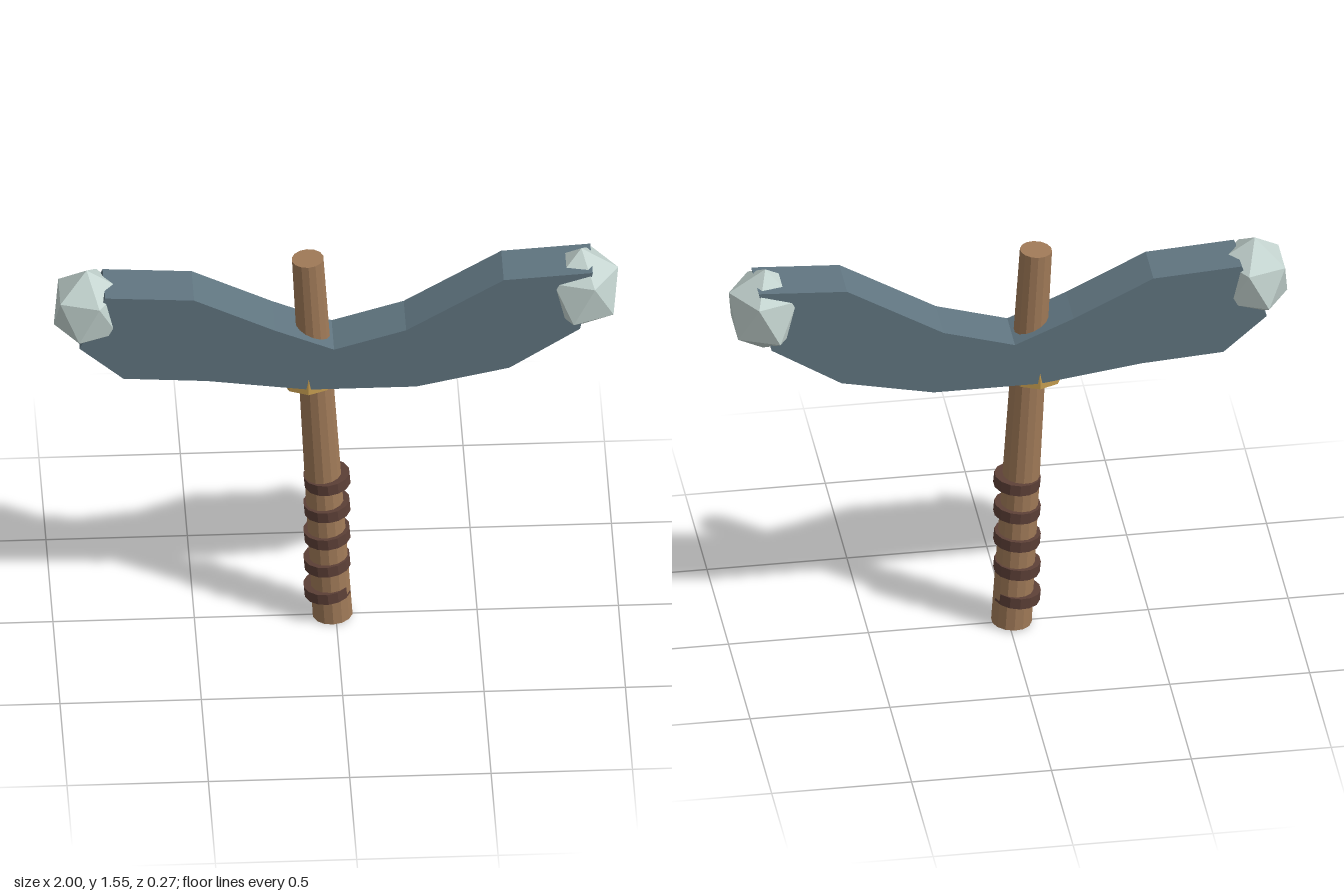
import * as THREE from 'three';

const paint = (color) => new THREE.MeshStandardMaterial({ color, flatShading: true });

export function createModel() {
  const model = new THREE.Group();
  const add = (name, geometry, material, x, y, tilt = 0) => {
    const mesh = new THREE.Mesh(geometry, material);
    mesh.name = name;
    mesh.position.set(x, y, 0);
    mesh.rotation.z = tilt;
    model.add(mesh);
    return mesh;
  };
  const wood = paint(0xa07a58), leather = paint(0x5d4037), stone = paint(0x607580);
  const crystal = paint(0xc4d4d0), brass = paint(0xc29a4e);

  // Leaning, tapered shaft that passes through the head
  add('handle', new THREE.CylinderGeometry(0.057, 0.072, 1.541, 14), wood, -0.055, 0.775, 0.057);

  // Grip wraps
  for (let i = 0; i < 5; i++) {
    add('gripWrap', new THREE.CylinderGeometry(0.083, 0.083, 0.042, 14), leather, -0.031, 0.12 + i * 0.118, 0.09);
  }

  // Tapered collar under the head
  add('collar', new THREE.CylinderGeometry(0.084, 0.095, 0.14, 8), brass, -0.1, 1.089);

  // Curved double-ended head
  const outline = [
    [-0.91, 1.245], [-0.755, 1.11], [-0.46, 1.09], [-0.1, 1.04], [0.28, 1.04], [0.61, 1.11], [0.86, 1.27],
    [0.905, 1.51], [0.59, 1.49], [0.245, 1.285], [-0.01, 1.21], [-0.22, 1.3], [-0.505, 1.44], [-0.82, 1.46],
  ].map(([x, y]) => new THREE.Vector2(x, y));
  const headGeometry = new THREE.ExtrudeGeometry(new THREE.Shape(outline), { depth: 0.18, bevelEnabled: false });
  headGeometry.translate(0, 0, -0.09);
  add('head', headGeometry, stone, 0, 0);

  // Faceted crystals at both tips
  for (const [name, x, y, radius] of [['rightCrystal', -0.877, 1.365, 0.155], ['leftCrystal', 0.873, 1.392, 0.163]]) {
    const geometry = new THREE.IcosahedronGeometry(radius, 0);
    geometry.rotateZ(-Math.PI / 6);
    geometry.scale(0.88, 1, 0.97);
    add(name, geometry, crystal, x, y);
  }
  return model;
}
